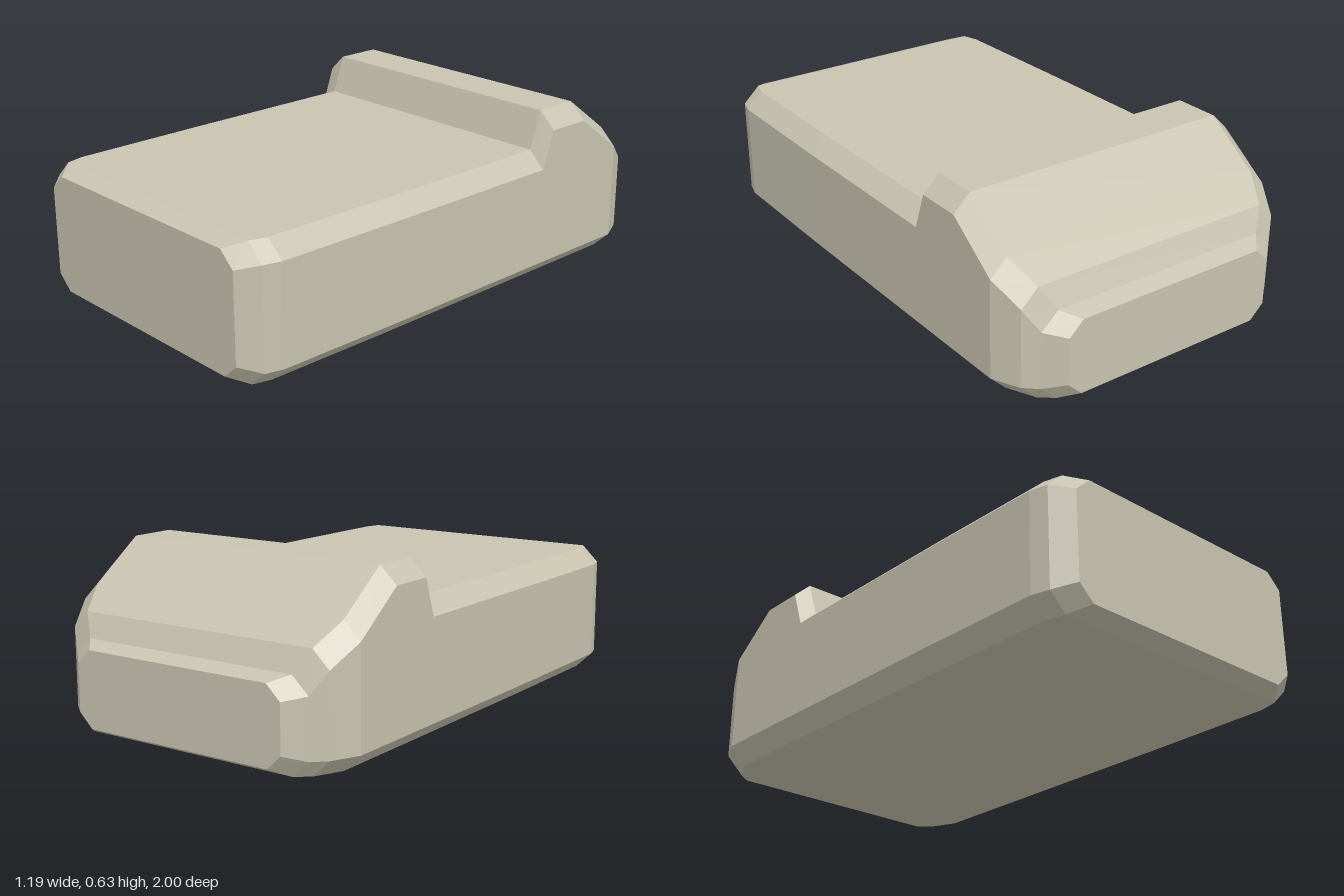
import * as THREE from 'three';

// Chamfered cross-sections from front to back:
// [z, half width, bottom, top, chamfer width, chamfer height]
const SECTIONS = [
  [1.0, 0.51, 0.03, 0.47, 0.06, 0.055],
  [0.935, 0.572, 0, 0.495, 0.065, 0.062],
  [0.87, 0.59, 0, 0.495, 0.065, 0.062],
  [0.35, 0.596, 0, 0.495, 0.065, 0.062],
  [-0.375, 0.597, 0, 0.495, 0.065, 0.062],
  [-0.425, 0.597, 0, 0.635, 0.065, 0.062],
  [-0.6, 0.597, 0, 0.635, 0.065, 0.062],
  [-0.8, 0.597, 0, 0.49, 0.065, 0.062],
  [-0.9, 0.55, 0, 0.412, 0.065, 0.062],
  [-0.94, 0.5, 0, 0.33, 0.065, 0.06],
  [-1.0, 0.435, 0.03, 0.307, 0.055, 0.052],
];

// Octagonal ring, counter-clockwise seen from the front
function ring([z, w, b, t, cx, cy]) {
  const right = [[w - cx, b], [w, b + cy], [w, t - cy], [w - cx, t]];
  const left = right.map(([x, y]) => [-x, y]).reverse();
  return [...right, ...left].map(([x, y]) => [x, y, z]);
}

// Skin the rings and close both ends
function loft(rings) {
  const points = [];
  const n = rings[0].length;
  for (let i = 0; i < rings.length - 1; i++) {
    for (let j = 0; j < n; j++) {
      const k = (j + 1) % n;
      const a = rings[i][j], b = rings[i][k];
      const c = rings[i + 1][k], d = rings[i + 1][j];
      points.push(...a, ...d, ...c, ...a, ...c, ...b);
    }
  }
  const front = rings[0], back = rings[rings.length - 1];
  for (let j = 1; j < n - 1; j++) {
    points.push(...front[0], ...front[j], ...front[j + 1]);
    points.push(...back[0], ...back[j + 1], ...back[j]);
  }
  const geometry = new THREE.BufferGeometry();
  geometry.setAttribute('position', new THREE.Float32BufferAttribute(points, 3));
  geometry.computeVertexNormals();
  return geometry;
}

export function createModel() {
  const group = new THREE.Group();
  group.name = 'chamferedBlock';

  // Long flat body with a raised, sloping back end
  const material = new THREE.MeshStandardMaterial({ color: 0xc8c4b0, flatShading: true });
  const body = new THREE.Mesh(loft(SECTIONS.map(ring)), material);
  body.name = 'body';
  group.add(body);
  return group;
}
